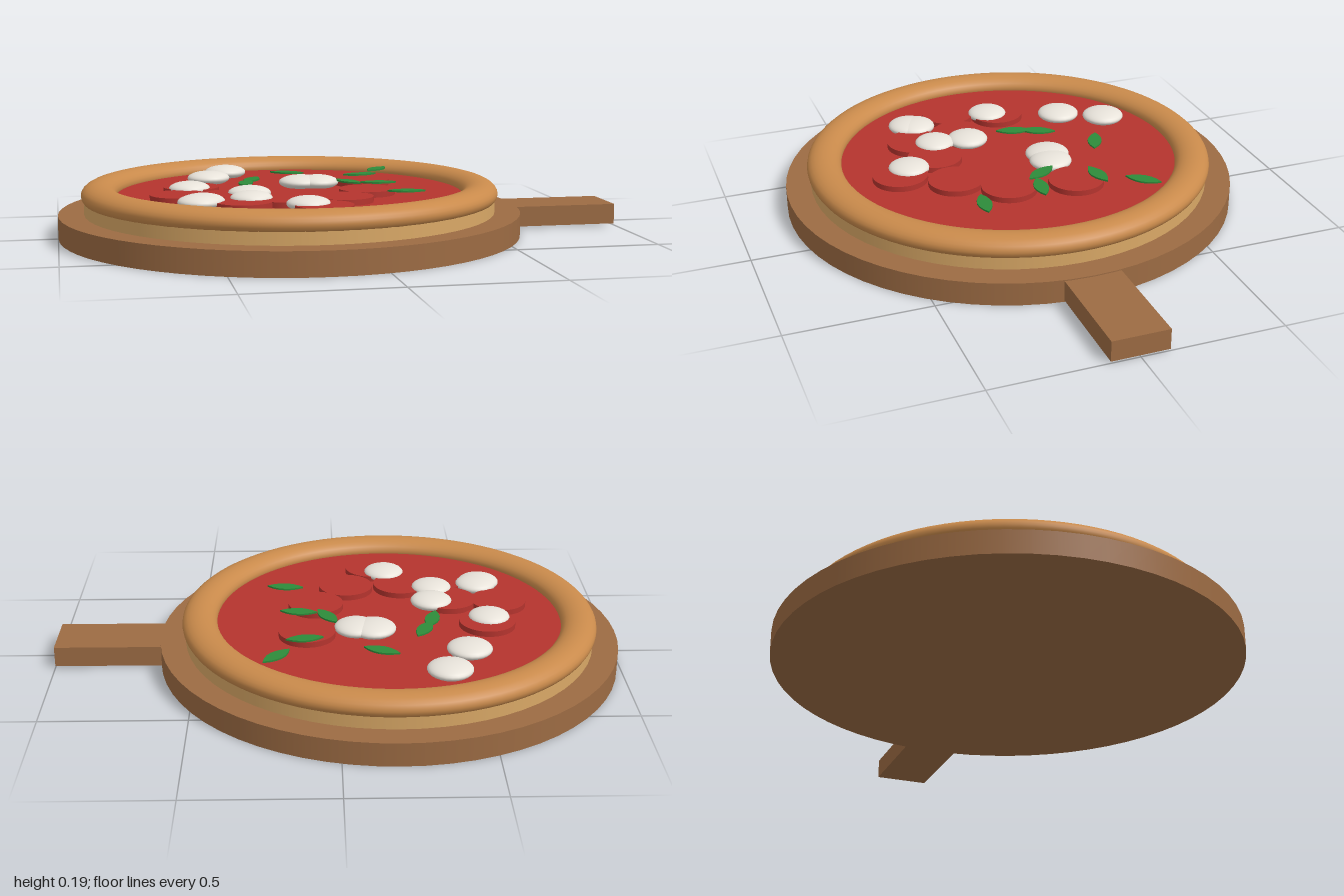
import * as THREE from 'three';

const material = (name, color, side = THREE.FrontSide) => {
  const m = new THREE.MeshStandardMaterial({ color, side });
  m.name = name;
  return m;
};

export function createModel() {
  const wood = material('wood', 0x9c6b43);
  const dough = material('dough', 0xd9a866);
  const crustBrown = material('crustBrown', 0xc98a4b);
  const tomato = material('tomato', 0xb5342e);
  const cheese = material('cheese', 0xf2ede4);
  const basilGreen = material('basilGreen', 0x2e8b3a);

  const model = new THREE.Group();
  model.name = 'pizzaOnBoard';
  const pizza = new THREE.Group();
  pizza.name = 'pizza';
  const centreX = -0.185;

  const add = (parent, name, geometry, mat, x, y, z) => {
    const mesh = new THREE.Mesh(geometry, mat);
    mesh.name = name;
    mesh.position.set(x, y, z);
    parent.add(mesh);
    return mesh;
  };
  const disc = (radius, height) => new THREE.CylinderGeometry(radius, radius, height, 64);

  // Serving board with its handle
  add(model, 'board', disc(0.815, 0.082), wood, centreX, 0.041, 0);
  add(model, 'handle', new THREE.BoxGeometry(0.42, 0.072, 0.2), wood, 0.79, 0.042, 0);

  // Dough base, squashed crust ring and sauce
  add(pizza, 'doughBase', disc(0.725, 0.05), dough, centreX, 0.105, 0);
  const ring = new THREE.TorusGeometry(0.673, 0.062, 24, 96).rotateX(Math.PI / 2).scale(1, 0.66, 1);
  add(pizza, 'crust', ring, crustBrown, centreX, 0.147, 0);
  add(pizza, 'sauce', disc(0.63, 0.03), tomato, centreX, 0.126, 0);

  // Sausage slices: x, z
  const sliceGeometry = disc(0.099, 0.022);
  [
    [0.107, -0.15], [0.075, 0.09], [-0.037, 0.25], [-0.14, 0.425], [-0.24, 0.265],
    [-0.39, 0.3], [-0.59, 0.105], [-0.41, 0.12], [-0.53, -0.075],
  ].forEach(([x, z]) => add(pizza, 'sausageSlice', sliceGeometry, tomato, x, 0.15, z));

  // Flattened cheese balls: x, z, radius
  const ball = new THREE.SphereGeometry(1, 24, 16);
  [
    [-0.365, -0.455, 0.078], [-0.445, -0.3, 0.078], [-0.54, -0.04, 0.073],
    [-0.125, -0.13, 0.08], [-0.065, -0.12, 0.077], [-0.345, 0.105, 0.075],
    [-0.355, 0.23, 0.073], [-0.523, 0.258, 0.075], [-0.535, 0.28, 0.075], [-0.185, 0.38, 0.074],
  ].forEach(([x, z, r]) => {
    add(pizza, 'cheeseBall', ball, cheese, x, 0.159, z).scale.set(r, 0.026, r);
  });

  // Pointed basil leaves: x, z, turn
  const outline = new THREE.Shape();
  outline.moveTo(-0.066, 0);
  outline.quadraticCurveTo(0, 0.052, 0.066, 0);
  outline.quadraticCurveTo(0, -0.052, -0.066, 0);
  const leaf = new THREE.ExtrudeGeometry(outline, { depth: 0.006, bevelEnabled: false, curveSegments: 6 });
  leaf.rotateX(-Math.PI / 2);
  [
    [-0.145, -0.328, -0.42], [0.21, -0.365, 0.84], [0.115, -0.23, 0.16],
    [-0.335, -0.075, 1.32], [-0.302, -0.16, 1.13], [0.035, -0.045, -1.04],
    [0.137, -0.006, -0.12], [0.187, 0.22, -0.12],
  ].forEach(([x, z, turn]) => {
    add(pizza, 'basilLeaf', leaf, basilGreen, x, 0.165, z).rotation.y = turn;
  });

  model.add(pizza);
  return model;
}
